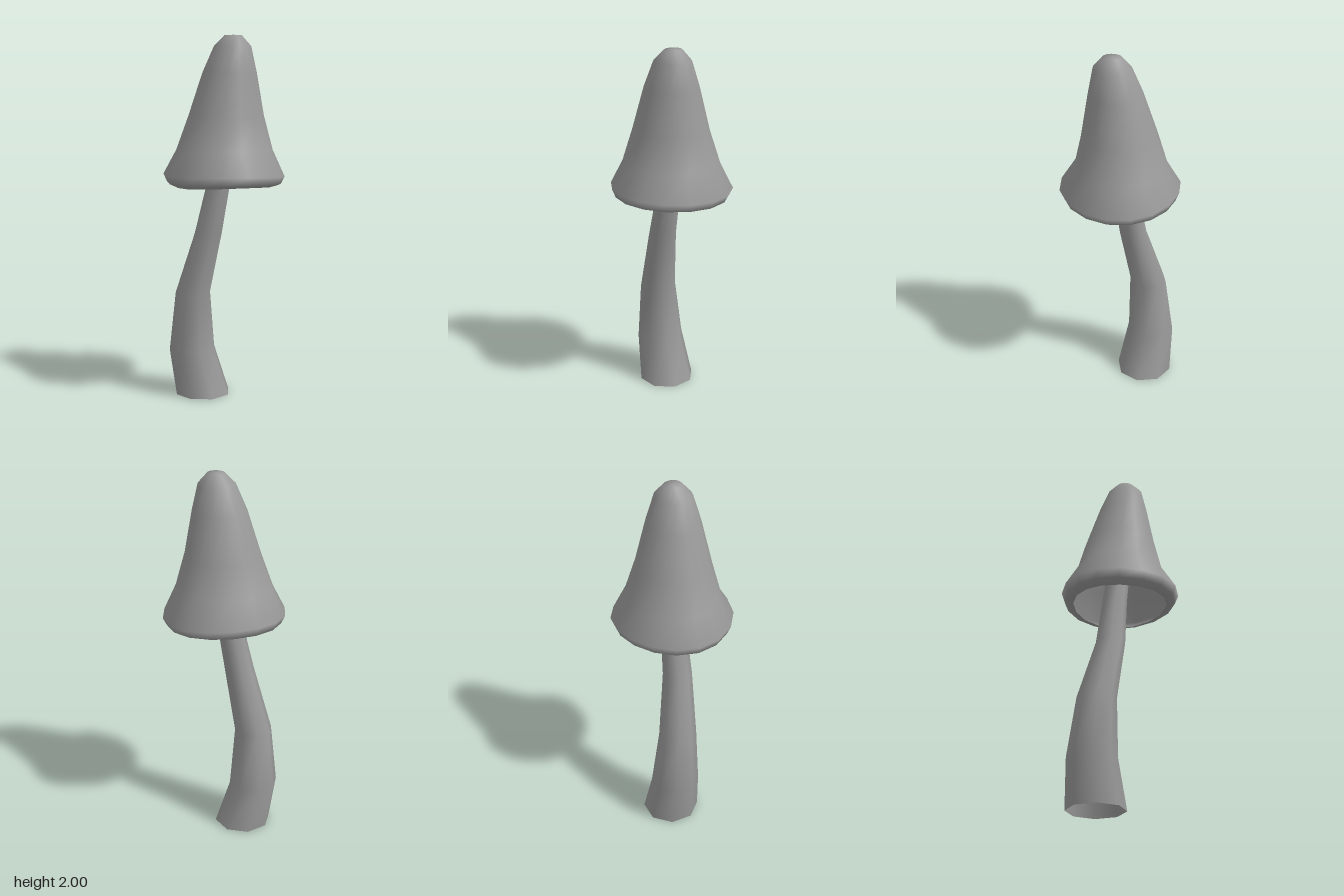
import * as THREE from 'three';

// Skins a stack of climbing rings: [y, centreX, centreZ, radiusX, radiusZ, wave, tilt, sag].
// Wave lifts front and back, tilt lowers the left side, sag pulls both sides backwards.
function loft(rings, sides) {
  const positions = [], index = [];
  rings.forEach(([y, cx, cz, rx, rz, wave = 0, tilt = 0, sag = 0], i) => {
    for (let j = 0; j < sides; j++) {
      const t = (j / sides) * Math.PI * 2, s = Math.sin(t), c = Math.cos(t);
      positions.push(cx + rx * s, y + wave * Math.cos(2 * t) - tilt * s, cz + rz * c - sag * s * s);
      if (i === rings.length - 1) continue;
      const a = i * sides + j, b = i * sides + (j + 1) % sides;
      index.push(a, b, b + sides, a, b + sides, a + sides);
    }
  });
  const geometry = new THREE.BufferGeometry();
  geometry.setAttribute('position', new THREE.Float32BufferAttribute(positions, 3));
  geometry.setIndex(index);
  geometry.computeVertexNormals();
  return geometry;
}

export function createModel() {
  const group = new THREE.Group();
  group.name = 'mushroom';
  const material = new THREE.MeshStandardMaterial({ color: 0x999999, side: THREE.DoubleSide });
  const add = (name, geometry) => {
    const mesh = new THREE.Mesh(geometry, material);
    mesh.name = name;
    group.add(mesh);
  };

  // Bent, tapering stem, open at the foot and ending inside the cap
  add('stem', loft([
    [0, -0.088, -0.127, 0.156, 0.157],
    [0.26, -0.143, -0.151, 0.133, 0.132],
    [0.585, -0.144, -0.13, 0.102, 0.105],
    [0.93, -0.077, -0.057, 0.08, 0.079],
    [1.2, -0.027, -0.033, 0.069, 0.068],
    [1.5, 0.005, 0, 0.06, 0.06],
  ], 8));

  // Thin hollow cap: from the curled-in lip, round the wavy rim and up to the tip
  add('cap', loft([
    [1.193, 0, -0.002, 0.265, 0.26, 0.009, 0.002, 0.012],
    [1.209, 0, -0.002, 0.312, 0.307, 0.006, 0.005, 0.018],
    [1.253, 0, -0.001, 0.332, 0.326, 0.008, 0.008, 0.022],
    [1.387, 0, -0.004, 0.265, 0.247, 0.002, 0, 0.01],
    [1.57, 0.005, 0, 0.205, 0.2],
    [1.8, 0.018, 0.017, 0.147, 0.142],
    [1.94, 0.03, 0.03, 0.1, 0.1],
    [1.998, 0.033, 0.03, 0.046, 0.05],
    [2, 0.033, 0.03, 0, 0],
  ], 16));

  return group;
}
